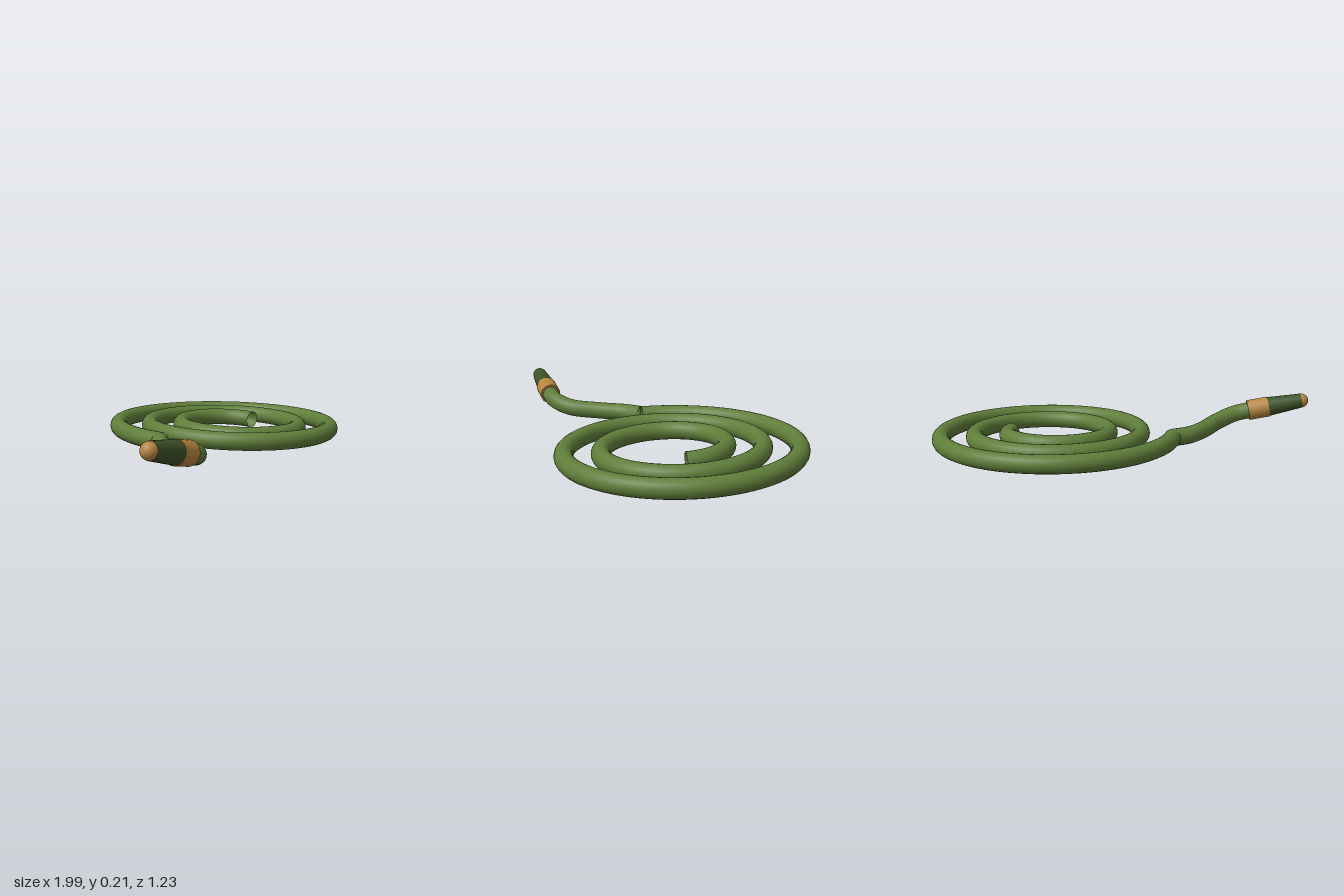
import * as THREE from 'three';

const HOSE_RADIUS = 0.046;
const mat = (color) => new THREE.MeshStandardMaterial({ color, side: THREE.DoubleSide });
const green = mat(0x5f7d3a);
const darkGreen = mat(0x3d5229);
const brass = mat(0xb5853f);

// Flat spiral that widens evenly and is slightly tilted
class SpiralCurve extends THREE.Curve {
  getPoint(t, target = new THREE.Vector3()) {
    const turns = 2.5 * t;
    const a = turns * Math.PI * 2;
    const r = 0.219 + 0.1735 * turns;
    return target.set(0.381 + r * Math.cos(a), 0.058 + 0.012 * Math.sin(a), 0.035 - r * Math.sin(a));
  }
}

export function createModel() {
  const group = new THREE.Group();
  const add = (name, geometry, material, parent = group) => {
    const mesh = new THREE.Mesh(geometry, material);
    mesh.name = name;
    parent.add(mesh);
    return mesh;
  };

  // Coiled hose
  add('hoseCoil', new THREE.TubeGeometry(new SpiralCurve(), 240, HOSE_RADIUS, 20), green);

  // Loose end leading from the coil to the nozzle
  const tail = new THREE.CatmullRomCurve3([
    [-0.275, 0.058, 0.035], [-0.355, 0.056, 0.108], [-0.425, 0.057, 0.235],
    [-0.50, 0.069, 0.395], [-0.59, 0.096, 0.472], [-0.69, 0.119, 0.49],
  ].map((p) => new THREE.Vector3(...p)));
  add('hoseTail', new THREE.TubeGeometry(tail, 60, HOSE_RADIUS, 20), green);

  // Nozzle, built along +y and then turned onto the hose end
  const start = new THREE.Vector3(-0.664, 0.114, 0.488);
  const end = new THREE.Vector3(-0.96, 0.174, 0.516);
  const nozzle = new THREE.Group();
  nozzle.name = 'nozzle';
  nozzle.position.copy(start);
  const axis = end.clone().sub(start);
  const length = axis.length();
  nozzle.quaternion.setFromUnitVectors(new THREE.Vector3(0, 1, 0), axis.normalize());
  group.add(nozzle);

  const collar = 0.115;
  add('nozzleCollar', new THREE.CylinderGeometry(0.057, 0.057, collar, 28), brass, nozzle)
    .position.y = collar / 2;
  const body = length - collar;
  add('nozzleBody', new THREE.CylinderGeometry(0.04, 0.054, body, 28), darkGreen, nozzle)
    .position.y = collar + body / 2;
  add('nozzleTip', new THREE.SphereGeometry(0.039, 24, 16), brass, nozzle)
    .position.y = length;

  return group;
}
